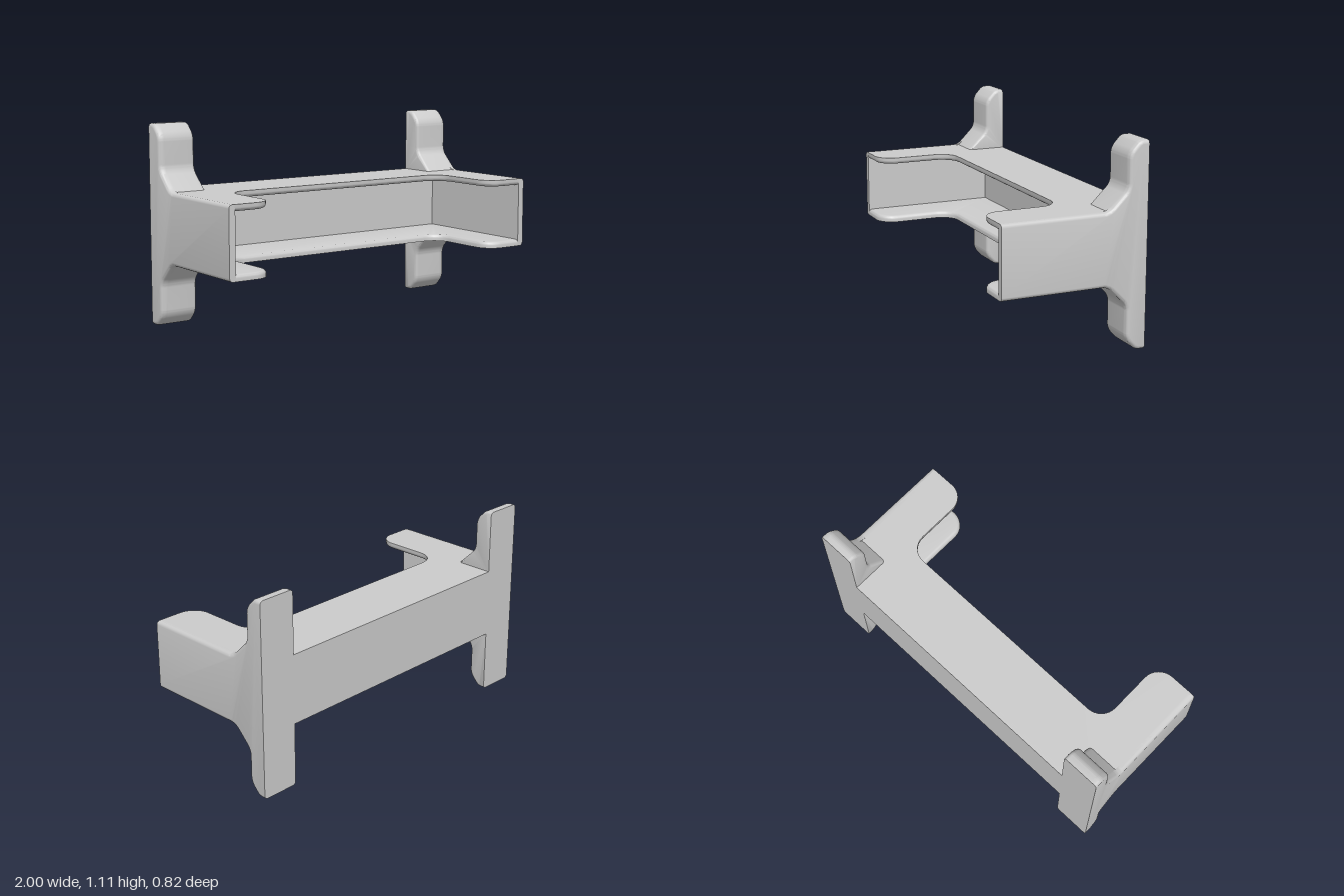
import * as THREE from 'three';
import { toCreasedNormals } from 'three/addons/utils/BufferGeometryUtils.js';

const MID = 0.555;    // height of the symmetry plane
const WALL = 0.037;   // sheet thickness
const FILLET = 0.02;

// Closed outline from [u, v, r] corners, each rounded over a length r
function roundedOutline(corners) {
  const pts = corners.map(([u, v]) => new THREE.Vector2(u, v));
  const shape = new THREE.Shape();
  const n = pts.length;
  pts.forEach((p, i) => {
    const r = corners[i][2] || 0;
    const toward = (q, d) => p.clone().add(q.clone().sub(p).setLength(d));
    const prev = pts[(i + n - 1) % n], next = pts[(i + 1) % n];
    const a = r ? toward(prev, r) : p;
    if (i === 0) shape.moveTo(a.x, a.y);
    else shape.lineTo(a.x, a.y);
    if (r) {
      const b = toward(next, r), c = toward(prev, r * 0.45), d = toward(next, r * 0.45);
      shape.bezierCurveTo(c.x, c.y, d.x, d.y, b.x, b.y);
    }
  });
  return shape;
}

// Extrusion filleted at its far end only; snap(u) keeps chosen outer edges square
function filletedSlab(shape, thickness, snap) {
  const geo = new THREE.ExtrudeGeometry(shape, {
    depth: thickness - FILLET, curveSegments: 8, bevelEnabled: true, bevelSegments: 4,
    bevelSize: FILLET, bevelThickness: FILLET, bevelOffset: -FILLET,
  });
  const pos = geo.attributes.position;
  for (let i = 0; i < pos.count; i++) {
    pos.setX(i, snap(pos.getX(i)));
    pos.setZ(i, Math.max(0, pos.getZ(i)));
  }
  return geo;
}

const snapTo = (limit, edge) => (u) => (Math.abs(u) > limit ? Math.sign(u) * edge : u);

export function createModel() {
  const group = new THREE.Group();
  const material = new THREE.MeshStandardMaterial({ color: 0xcccccc });

  // Adds a part and its copy turned half way round the z axis through MID
  function addPair(name, geo) {
    const smooth = toCreasedNormals(geo, 0.6);
    smooth.translate(0, -MID, 0);
    for (const turn of [0, Math.PI]) {
      const mesh = new THREE.Mesh(smooth, material);
      mesh.name = name;
      mesh.position.y = MID;
      mesh.rotation.z = turn;
      group.add(mesh);
    }
  }

  // Stepped profile of the mounting ear in (z, y), from the tray top to the tip
  const ear = [
    [-0.19, 0.752, 0.03], [-0.3, 0.862, 0.03], [-0.3, 1.046, 0.03], [-0.36, 1.11, 0.02], [-0.41, 1.11],
  ];
  const flip = ([z, y, r]) => [z, 2 * MID - y, r];

  // Side walls, including the outer faces of the ears
  const sideProfile = [[0.41, 0.752], ...ear, ...ear.map(flip).reverse(), [0.41, 0.358]];
  const side = filletedSlab(roundedOutline(sideProfile), WALL, snapTo(0.385, 0.41));
  side.rotateY(-Math.PI / 2).translate(-(1 - WALL), 0, 0);
  addPair('sideWall', side);

  // Ears above and below the tray
  const earProfile = [[-0.158, 0.72], ...ear.slice(1), [-0.41, 0.72]];
  for (const [name, profile] of [['upperEar', earProfile], ['lowerEar', earProfile.map(flip)]]) {
    const geo = filletedSlab(roundedOutline(profile), 1 - WALL - 0.78, snapTo(0.385, 0.41));
    geo.rotateY(-Math.PI / 2).translate(1 - WALL, 0, 0);
    addPair(name, geo);
  }

  // U-shaped top and bottom plates with two forward arms
  const halfPlate = [[0.98, -0.4], [0.98, 0.41], [0.733, 0.41, 0.105], [0.733, -0.04, 0.105]];
  const plateOutline = [...halfPlate, ...halfPlate.map(([x, z, r]) => [-x, z, r]).reverse()];
  const plate = filletedSlab(roundedOutline(plateOutline), WALL, snapTo(0.955, 0.98));
  plate.rotateX(Math.PI / 2).translate(0, 0.752, 0);
  addPair('trayPlate', plate);

  // Back wall
  const back = new THREE.Mesh(new THREE.BoxGeometry(1.95, 0.394, 0.04), material);
  back.name = 'backWall';
  back.position.set(0, MID, -0.39);
  group.add(back);

  return group;
}
